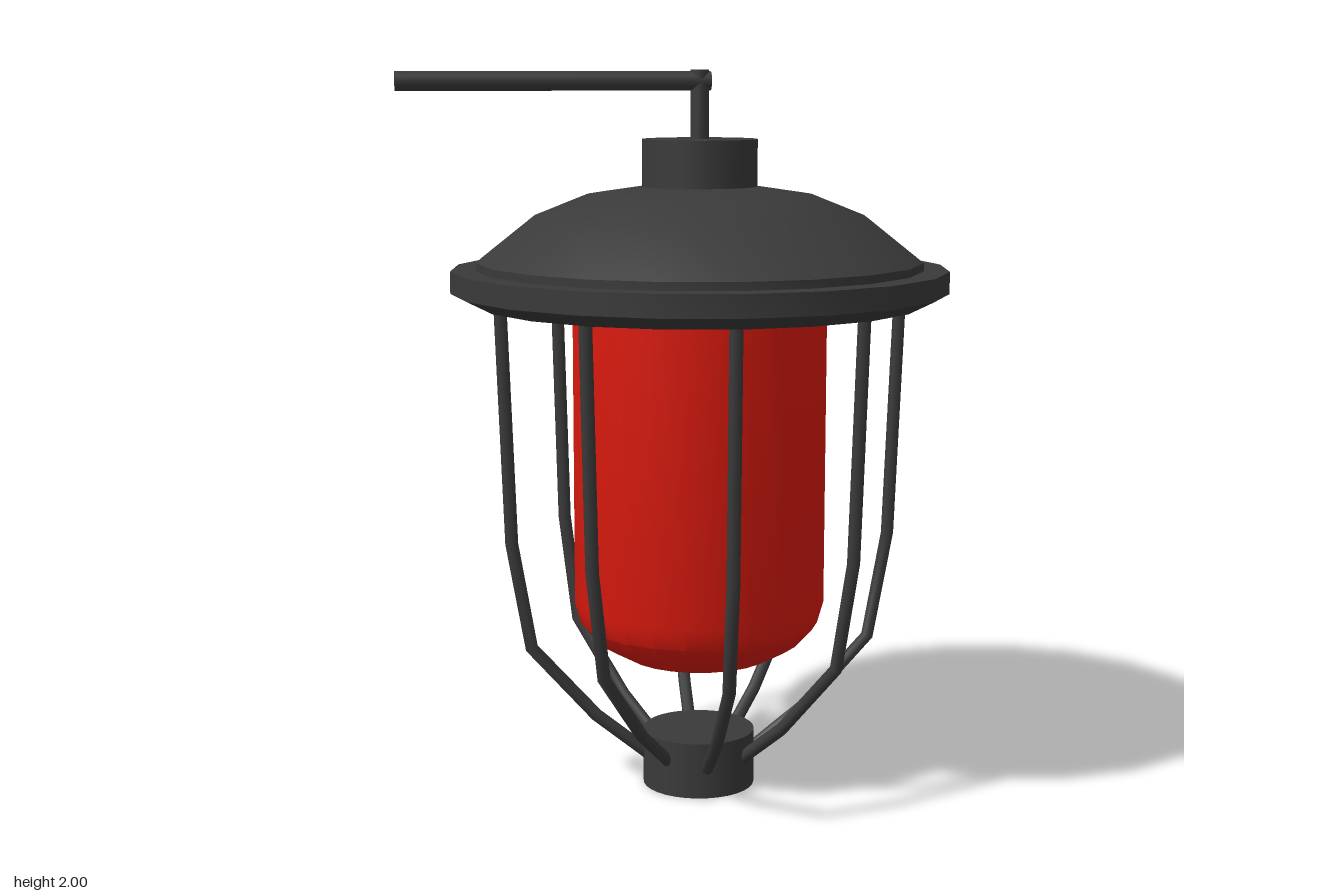
import * as THREE from 'three';
import { toCreasedNormals } from 'three/addons/utils/BufferGeometryUtils.js';

const dark = new THREE.MeshStandardMaterial({ color: 0x3a3a3a });
const red = new THREE.MeshStandardMaterial({ color: 0xdc1a0e });
const AXIS_X = 0.066; // the lantern hangs off-centre because of the arm

// Straight-sided path whose samples fall exactly on its corners
class Polyline extends THREE.Curve {
  constructor(points) {
    super();
    this.points = points;
  }
  getPoint(t, target = new THREE.Vector3()) {
    const n = this.points.length - 1;
    const i = Math.min(Math.floor(t * n + 1e-9), n - 1);
    return target.lerpVectors(this.points[i], this.points[i + 1], t * n - i);
  }
  getUtoTmapping(u) {
    return u;
  }
}

function add(parent, name, geometry, material, x = 0, y = 0, z = 0) {
  const mesh = new THREE.Mesh(geometry, material);
  mesh.name = name;
  mesh.position.set(x, y, z);
  parent.add(mesh);
  return mesh;
}

function lathe(profile, sides) {
  const points = profile.map(([r, y]) => new THREE.Vector2(r, y));
  return toCreasedNormals(new THREE.LatheGeometry(points, sides), 0.5);
}

export function createModel() {
  const model = new THREE.Group();
  model.name = 'hangingLantern';
  const lantern = new THREE.Group();
  lantern.name = 'lantern';
  lantern.position.x = AXIS_X;
  model.add(lantern);

  // Base and top collars
  add(lantern, 'baseCollar', new THREE.CylinderGeometry(0.157, 0.157, 0.157, 32), dark, 0, 0.0785, 0);
  add(lantern, 'topCollar', new THREE.CylinderGeometry(0.157, 0.157, 0.145, 32), dark, 0, 1.7425, 0);

  // Hood: flat underside, flared rim, stepped dome
  add(lantern, 'hood', lathe([
    [0, 1.37], [0.61, 1.37], [0.68, 1.405], [0.68, 1.465], [0.61, 1.465],
    [0.61, 1.487], [0.46, 1.605], [0.31, 1.665], [0.157, 1.688], [0, 1.69],
  ], 20), dark);

  // Red glass with a rounded lower end
  const glass = [];
  for (let i = 0; i <= 5; i++) {
    const a = (i / 5) * Math.PI / 2;
    glass.push([0.35 * Math.sin(a), 0.535 - 0.195 * Math.cos(a)]);
  }
  glass.push([0.35, 1.39]);
  add(lantern, 'glass', lathe(glass, 24), red);

  // Cage bars: top position of each bar around the axis [x, z]
  const tops = [
    [0, 0.56], [0.38, 0.35], [0.574, -0.026], [0.38, -0.4],
    [0.01, -0.53], [-0.355, -0.4], [-0.546, -0.04], [-0.355, 0.35],
  ];
  // Bar profile [share of the top radius, height]
  const bend = [[1, 1.41], [0.955, 0.7], [0.86, 0.4], [0.53, 0.2], [0.23, 0.07]];
  const cage = new THREE.Group();
  cage.name = 'cage';
  lantern.add(cage);
  tops.forEach(([x, z]) => {
    const path = new Polyline(bend.map(([s, y]) => new THREE.Vector3(x * s, y, z * s)));
    const bar = new THREE.TubeGeometry(path, bend.length - 1, 0.018, 8, false);
    add(cage, 'cageBar', bar, dark);
  });

  // Stem and sideways mounting arm
  add(model, 'stem', new THREE.CylinderGeometry(0.025, 0.025, 0.2, 16), dark, AXIS_X, 1.9, 0);
  const arm = add(model, 'mountingArm', new THREE.CylinderGeometry(0.026, 0.026, 0.845, 12), dark, -0.3275, 1.97, 0);
  arm.rotation.z = Math.PI / 2;

  return model;
}
